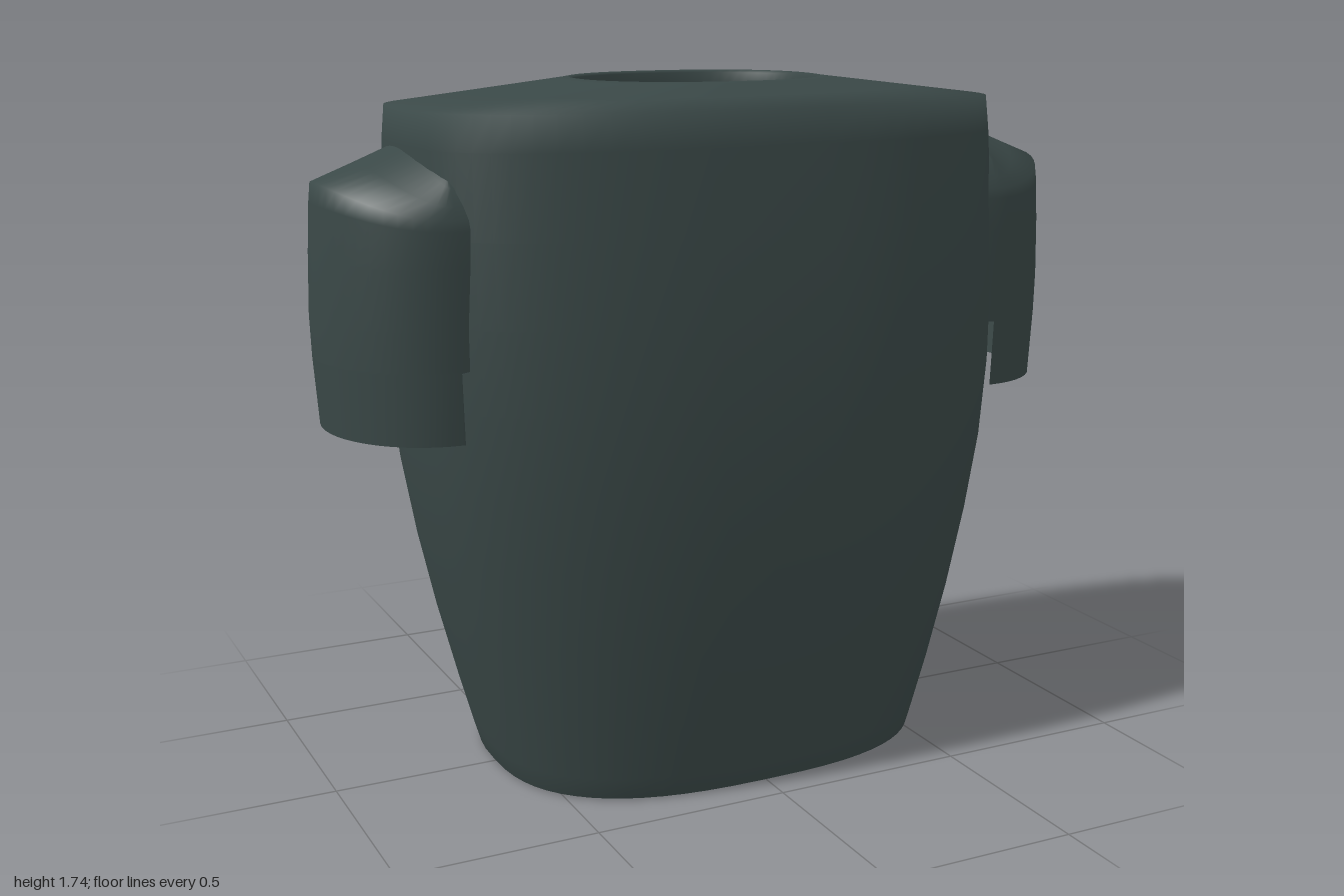
import * as THREE from 'three';

const fabric = new THREE.MeshStandardMaterial({ color: 0x3a4847, side: THREE.DoubleSide });
fabric.name = 'dark slate fabric';

// Skin a list of rings (bottom to top); each ring is an array of [x, y, z]
function loft(rings, closed) {
  const n = rings[0].length;
  const index = [];
  for (let i = 0; i < rings.length - 1; i++) {
    for (let j = 0; j < (closed ? n : n - 1); j++) {
      const k = (j + 1) % n;
      const a = i * n + j, b = i * n + k, c = a + n, d = b + n;
      index.push(a, c, b, b, c, d);
    }
  }
  const geo = new THREE.BufferGeometry();
  geo.setAttribute('position', new THREE.Float32BufferAttribute(rings.flat(2), 3));
  geo.setIndex(index);
  geo.computeVertexNormals();
  return geo;
}

// Rounded-rectangle ring: half width a, half depth b, squareness n
function ovalRing([y, a, b, n]) {
  const curve = (v) => Math.sign(v) * Math.abs(v) ** (2 / n);
  return Array.from({ length: 64 }, (_, i) => {
    const t = (i / 64) * Math.PI * 2;
    return [a * curve(Math.cos(t)), y, b * curve(Math.sin(t))];
  });
}

// Open half-oval ring bulging to +x, drooping by drop at its front and back
function sleeveRing([y, inner, outer, depth, drop]) {
  const ring = [];
  for (let i = 0; i <= 24; i++) {
    const t = (i / 24 - 0.5) * Math.PI;
    const s = Math.sin(t);
    ring.push([0.735 + (outer - 0.735) * Math.cos(t), y - drop * s * s, depth * s]);
  }
  // run both ends in to the body
  const end = (p) => [inner, p[1], p[2]];
  return [end(ring[0]), ...ring, end(ring[24])];
}

export function createModel() {
  const model = new THREE.Group();
  model.name = 'shirt';

  // Torso with hem, shoulders and neck opening: y, half width, half depth, squareness
  const torso = new THREE.Mesh(loft([
    [0, 0.572, 0.411, 2.65],
    [0.004, 0.58, 0.419, 2.65],
    [0.06, 0.597, 0.428, 2.65],
    [0.2, 0.635, 0.446, 2.7],
    [0.4, 0.686, 0.466, 2.75],
    [0.6, 0.73, 0.478, 2.8],
    [0.8, 0.765, 0.483, 2.85],
    [1.0, 0.787, 0.479, 2.85],
    [1.2, 0.795, 0.467, 2.85],
    [1.4, 0.795, 0.447, 2.85],
    [1.6, 0.789, 0.421, 2.85],
    [1.685, 0.782, 0.408, 2.85],
    [1.712, 0.56, 0.342, 2.6],
    [1.738, 0.345, 0.278, 2.3],
    [1.742, 0.32, 0.268, 2.25],
    [1.735, 0.308, 0.26, 2.25],
    [1.7, 0.308, 0.26, 2.25],
  ].map(ovalRing), true), fabric);
  torso.name = 'torso';
  model.add(torso);

  // Sleeves: y, inner x, outer x, half depth, droop
  const sleeveGeo = loft([
    [0.93, 0.73, 0.985, 0.286, 0],
    [1.1, 0.735, 0.997, 0.289, 0],
    [1.105, 0.7, 0.997, 0.289, 0],
    [1.2, 0.7, 1.0, 0.289, 0],
    [1.35, 0.7, 0.995, 0.289, 0.01],
    [1.47, 0.69, 0.988, 0.287, 0.045],
    [1.52, 0.68, 0.983, 0.282, 0.07],
    [1.56, 0.66, 0.88, 0.27, 0.08],
    [1.6, 0.62, 0.78, 0.25, 0.08],
    [1.62, 0.6, 0.74, 0.23, 0.08],
  ].map(sleeveRing), false);
  for (const [name, turn] of [['leftSleeve', 0], ['rightSleeve', Math.PI]]) {
    const sleeve = new THREE.Mesh(sleeveGeo, fabric);
    sleeve.name = name;
    sleeve.rotation.y = turn;
    model.add(sleeve);
  }
  return model;
}
